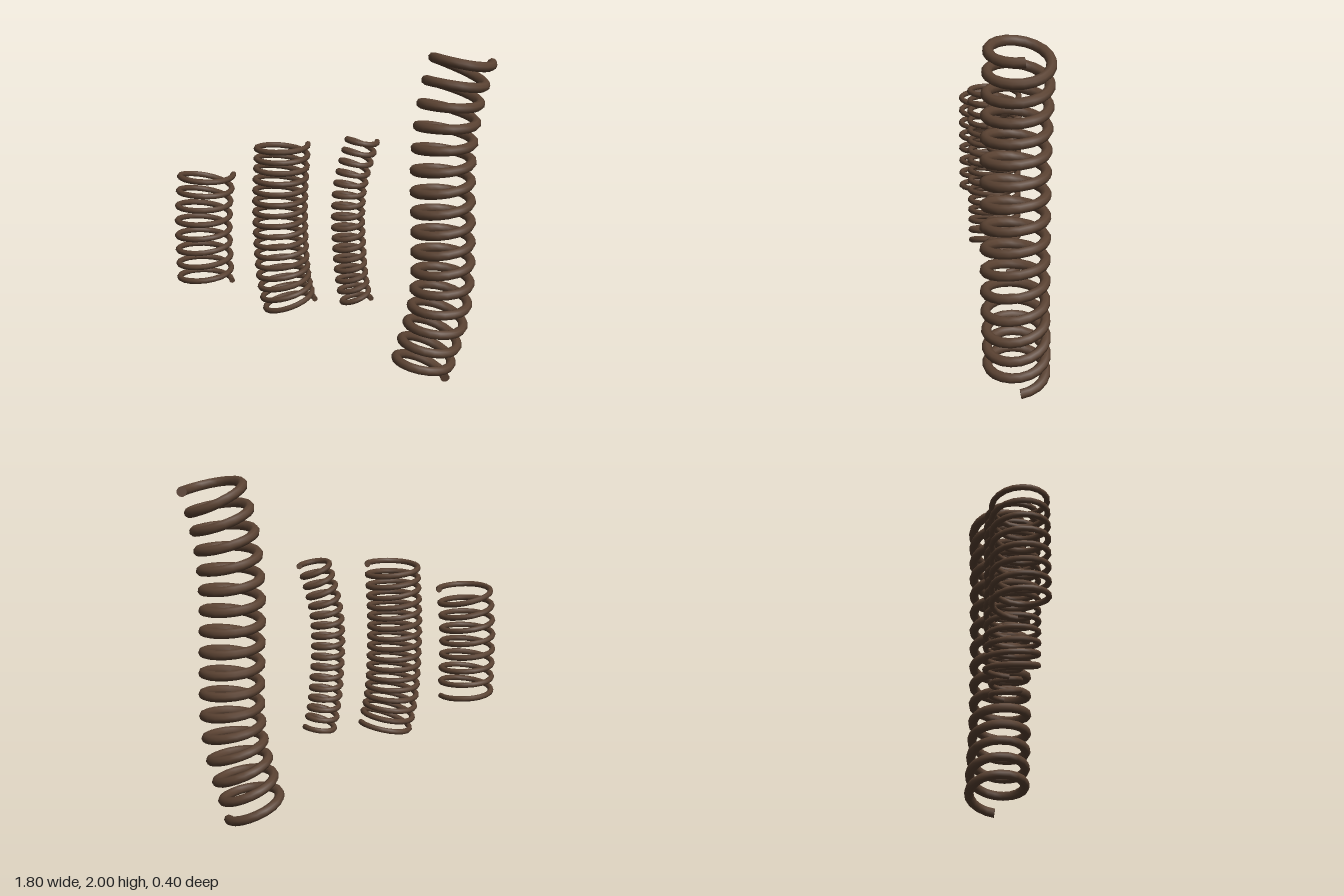
import * as THREE from 'three';

// Helix wound around a gently bent axis, each coil square to that axis.
class BentHelix extends THREE.Curve {
  constructor(axis, radius, turns) {
    super();
    this.axis = axis;
    this.radius = radius;
    this.turns = turns;
    this.arcLengthDivisions = turns * 48;
  }

  getPoint(t, target = new THREE.Vector3()) {
    const centre = this.axis.getPointAt(t);
    const along = this.axis.getTangentAt(t);
    const side = new THREE.Vector3(along.y, -along.x, 0).normalize();
    const back = new THREE.Vector3().crossVectors(along, side);
    const a = t * this.turns * Math.PI * 2;
    return target.copy(centre)
      .addScaledVector(side, this.radius * Math.cos(a))
      .addScaledVector(back, this.radius * Math.sin(a));
  }
}

// Axis points are [x, y, z] from bottom to top.
const springs = [
  {
    name: 'shortSpring', radius: 0.147, wire: 0.016, turns: 8,
    axis: [[-0.732, 0.70, 0], [-0.735, 0.87, 0], [-0.735, 1.05, 0], [-0.726, 1.20, 0], [-0.708, 1.35, 0]],
  },
  {
    name: 'wideSpring', radius: 0.143, wire: 0.016, turns: 16,
    axis: [[-0.25, 0.535, 0], [-0.274, 0.63, 0], [-0.29, 0.73, 0], [-0.30, 0.87, 0], [-0.305, 1.10, 0],
      [-0.30, 1.28, 0], [-0.292, 1.40, 0], [-0.288, 1.50, 0]],
  },
  {
    name: 'narrowSpring', radius: 0.083, wire: 0.016, turns: 16,
    axis: [[0.135, 0.54, 0], [0.115, 0.62, 0], [0.10, 0.72, 0], [0.088, 0.87, 0], [0.08, 1.05, 0],
      [0.086, 1.20, 0], [0.10, 1.29, 0], [0.125, 1.39, 0], [0.162, 1.52, 0]],
  },
  {
    name: 'largeSpring', radius: 0.162, wire: 0.028, turns: 16,
    axis: [[0.512, 0.07, -0.015], [0.555, 0.23, -0.008], [0.59, 0.36, 0], [0.617, 0.50, 0.008], [0.63, 0.66, 0.012],
      [0.625, 1.00, 0.012], [0.617, 1.30, 0.01], [0.622, 1.47, 0.008], [0.64, 1.64, 0.006],
      [0.67, 1.80, 0.005], [0.722, 1.975, 0.003]],
  },
];

function buildSpring({ name, axis, radius, wire, turns }, material) {
  const spring = new THREE.Group();
  spring.name = name;
  const centreLine = new THREE.CatmullRomCurve3(axis.map((p) => new THREE.Vector3(...p)));
  const helix = new BentHelix(centreLine, radius, turns);

  // Coiled wire
  const coil = new THREE.Mesh(new THREE.TubeGeometry(helix, turns * 20, wire, 8), material);
  coil.name = 'coil';
  spring.add(coil);

  // Flat cut ends of the wire
  for (const [t, sign, label] of [[0, -1, 'bottomEnd'], [1, 1, 'topEnd']]) {
    const end = new THREE.Mesh(new THREE.CircleGeometry(wire, 16), material);
    end.name = label;
    end.position.copy(helix.getPointAt(t));
    const outward = helix.getTangentAt(t).multiplyScalar(sign);
    end.quaternion.setFromUnitVectors(new THREE.Vector3(0, 0, 1), outward);
    spring.add(end);
  }
  return spring;
}

export function createModel() {
  const model = new THREE.Group();
  model.name = 'coilSprings';
  const material = new THREE.MeshStandardMaterial({ color: 0x5a4232 });
  for (const spec of springs) model.add(buildSpring(spec, material));
  return model;
}
